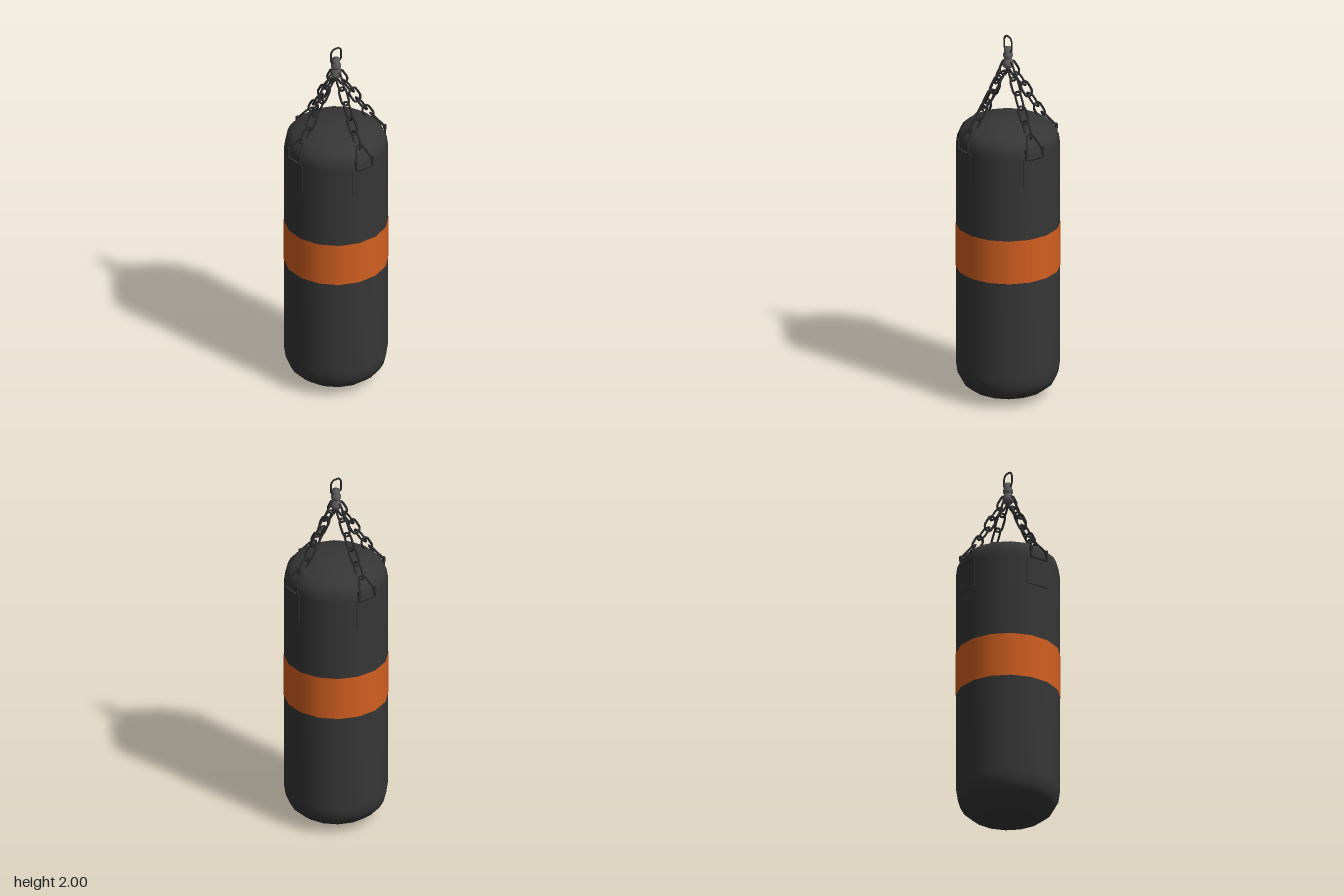
import * as THREE from 'three';

const mat = (name, color, side = THREE.FrontSide) => {
  const m = new THREE.MeshStandardMaterial({ color, side });
  m.name = name;
  return m;
};

export function createModel() {
  const leather = mat('black leather', 0x363636);
  const orange = mat('orange band', 0xd25f20, THREE.DoubleSide);
  const chainSteel = mat('dark chain steel', 0x2b2b2d);
  const steel = mat('grey steel', 0x5c5c5c);
  const model = new THREE.Group();

  const add = (parent, name, geometry, material, x = 0, y = 0, z = 0) => {
    const mesh = new THREE.Mesh(geometry, material);
    mesh.name = name;
    mesh.position.set(x, y, z);
    parent.add(mesh);
    return mesh;
  };
  const vec = (p) => new THREE.Vector3(...p);
  const loop = (points, radius, tension = 0.25) => new THREE.TubeGeometry(
    new THREE.CatmullRomCurve3(points.map(vec), true, 'catmullrom', tension), points.length * 4, radius, 6, true);

  // Bag: 16-sided body with domed ends, a flat side facing each chain
  const SIDES = 16, START = Math.PI / SIDES;
  const profile = [[0, 0], [0.07, 0.004], [0.14, 0.017], [0.2, 0.042], [0.24, 0.075], [0.262, 0.115], [0.27, 0.17],
    [0.27, 0.6], [0.27, 1.0], [0.27, 1.41], [0.264, 1.45], [0.25, 1.478], [0.22, 1.505], [0.16, 1.53], [0.08, 1.546], [0, 1.551]]
    .map(([r, y]) => new THREE.Vector2(r, y));
  add(model, 'bag', new THREE.LatheGeometry(profile, SIDES, START), leather);
  add(model, 'band', new THREE.CylinderGeometry(0.273, 0.273, 0.24, SIDES, 1, true, START), orange, 0, 0.835, 0);

  // Strap patch: a thin curved plate hugging the bag
  const half = 0.24;
  const arc = new THREE.Shape();
  arc.absarc(0, 0, 0.274, -half, half, false);
  arc.absarc(0, 0, 0.264, half, -half, true);
  const patchGeo = new THREE.ExtrudeGeometry(arc, { depth: 0.16, bevelEnabled: false, curveSegments: 6 });
  patchGeo.rotateX(-Math.PI / 2).rotateY(-Math.PI / 2);

  // Ring that gathers the strap into the chain
  const ringGeo = loop([[-0.05, 1.405, 0.271], [0.05, 1.405, 0.271], [0.046, 1.452, 0.271],
    [0.016, 1.518, 0.222], [-0.016, 1.518, 0.222], [-0.046, 1.452, 0.271]], 0.006, 0.1);

  // Chain link, long along y
  const linkGeo = loop([[-0.012, -0.047, 0], [0.012, -0.047, 0], [0.024, -0.028, 0], [0.024, 0.028, 0],
    [0.012, 0.047, 0], [-0.012, 0.047, 0], [-0.024, 0.028, 0], [-0.024, -0.028, 0]], 0.006);
  const lugGeo = new THREE.BoxGeometry(0.014, 0.026, 0.012);

  const low = vec([0, 1.505, 0.218]), high = vec([0, 1.845, 0.015]);
  const tilt = Math.atan2(high.z - low.z, high.y - low.y);
  const LINKS = 5;

  // Four hangers, each turned a touch off its axis
  [-0.02, Math.PI / 2 - 0.08, Math.PI - 0.08, -Math.PI / 2 - 0.01].forEach((angle) => {
    const hanger = new THREE.Group();
    hanger.name = 'hanger';
    hanger.rotation.y = angle;
    model.add(hanger);
    add(hanger, 'strapPatch', patchGeo, leather, 0, 1.25, 0);
    add(hanger, 'strapRing', ringGeo, chainSteel);
    for (const s of [-1, 1]) add(hanger, 'ringLug', lugGeo, chainSteel, s * 0.049, 1.45, 0.271);
    for (let i = 0; i < LINKS; i++) {
      const p = low.clone().lerp(high, (i + 0.5) / LINKS);
      const link = add(hanger, 'chainLink', linkGeo, chainSteel, p.x, p.y, p.z);
      link.rotation.set(tilt, (i % 2 ? 0 : Math.PI / 2) + 0.15, 0);
    }
  });

  // Swivel with a hanging loop on top
  const swivel = [[0, 1.825], [0.022, 1.825], [0.03, 1.838], [0.03, 1.852], [0.02, 1.872], [0.02, 1.88],
    [0.026, 1.885], [0.026, 1.9], [0.02, 1.905], [0.02, 1.935], [0, 1.938]].map(([r, y]) => new THREE.Vector2(r, y));
  add(model, 'swivel', new THREE.LatheGeometry(swivel, 16), steel);
  add(model, 'hangingLoop', loop([[0, 1.915, -0.02], [0, 1.93, -0.033], [0, 1.975, -0.033], [0, 1.995, -0.018],
    [0, 1.995, 0.018], [0, 1.975, 0.033], [0, 1.93, 0.033], [0, 1.915, 0.02]], 0.005), chainSteel);

  return model;
}
